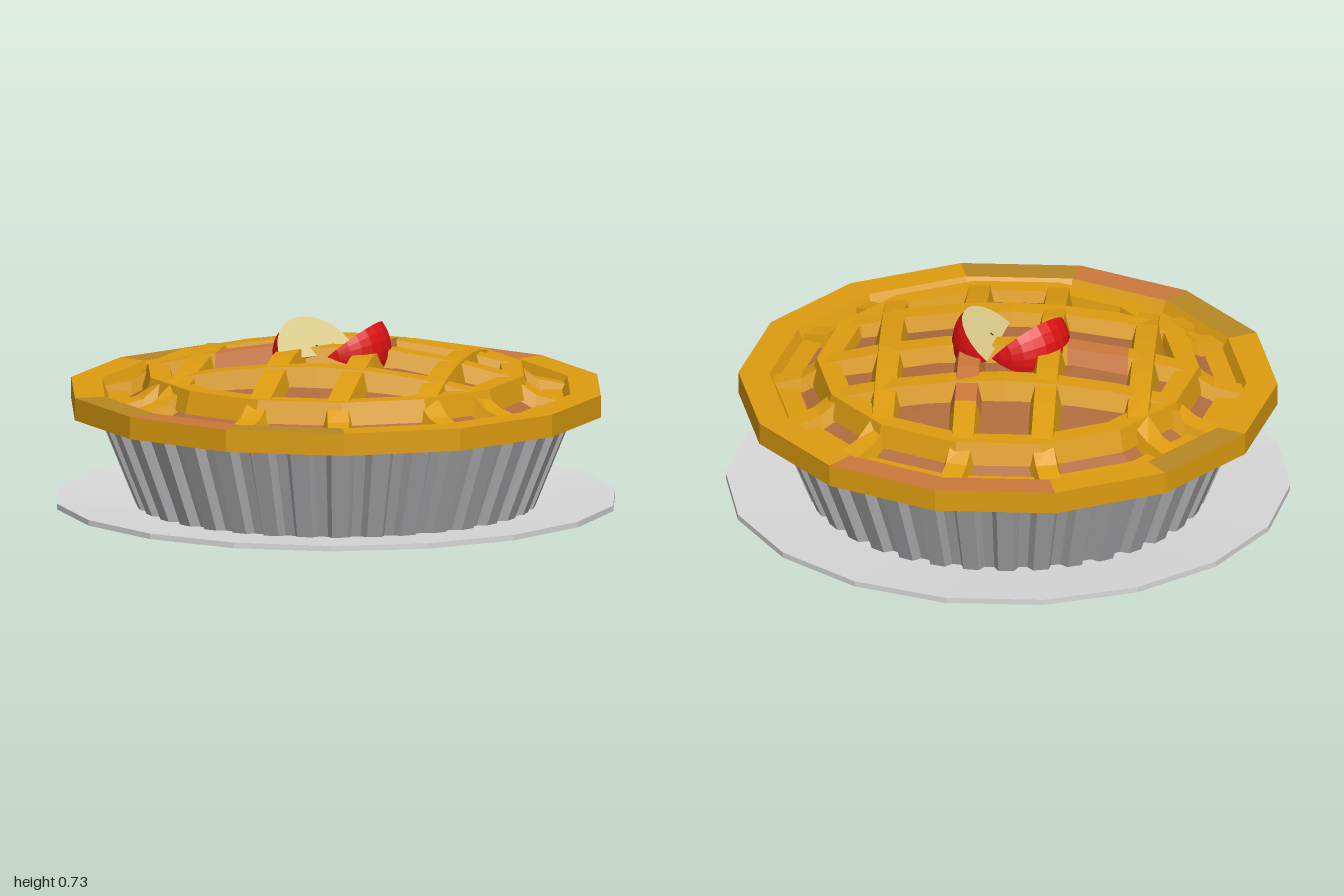
import * as THREE from 'three';

const mat = (name, color) => {
  const m = new THREE.MeshStandardMaterial({ color, flatShading: true });
  m.name = name;
  return m;
};

export function createModel() {
  const plateGrey = mat('plateGrey', 0xd8d8d8);
  const tinGrey = mat('tinGrey', 0xb4b4b6);
  const crustGold = mat('crustGold', 0xdd9c10);
  const crustDull = mat('crustDull', 0xb88824);
  const crustOrange = mat('crustOrange', 0xcc783c);
  const fillingBrown = mat('fillingBrown', 0xb06c3e);
  const skinRed = mat('skinRed', 0xdd1111);
  const fleshCream = mat('fleshCream', 0xdccb8c);
  const seedBrown = mat('seedBrown', 0x4a2c14);

  const pie = new THREE.Group();
  pie.name = 'pie';
  const add = (name, geometry, material, parent = pie) => {
    const mesh = new THREE.Mesh(geometry, material);
    mesh.name = name;
    parent.add(mesh);
    return mesh;
  };
  // Faceted ring of revolution with its first corner on +x
  const lathe = (points, sides) => new THREE.LatheGeometry(
    points.map(([r, y]) => new THREE.Vector2(r, y)), sides, Math.PI / 2);

  // Plate with a foot
  add('plate', lathe([[0, 0], [0.5, 0], [0.5, 0.03], [1, 0.075], [1, 0.095], [0.5, 0.055], [0, 0.055]], 18), plateGrey);

  // Pleated tin: each pleat is a wide outer face and a narrower groove
  const pleats = 36;
  const tin = new THREE.CylinderGeometry(0.85, 0.7, 0.37, pleats * 4, 1, true);
  const pos = tin.attributes.position;
  const offsets = [0, 0.45, 0.58, 0.87];
  for (let i = 0; i < pos.count; i++) {
    const k = i % (pleats * 4 + 1);
    const angle = (Math.floor(k / 4) + offsets[k % 4]) / pleats * Math.PI * 2;
    const r = Math.hypot(pos.getX(i), pos.getZ(i)) - (k % 4 < 2 ? 0 : 0.035);
    pos.setXYZ(i, r * Math.sin(angle), pos.getY(i) + 0.235, r * Math.cos(angle));
  }
  tin.computeVertexNormals();
  add('tin', tin, tinGrey);

  // Crust rim, with differently baked tops on some of its sides
  const sides = 14;
  const rimProfile = [[0.79, 0.415], [0.955, 0.41], [0.955, 0.49], [0.845, 0.49], [0.825, 0.45], [0.75, 0.455]];
  const rim = lathe(rimProfile, sides);
  const bands = rimProfile.length - 1;
  const orangeSides = [4, 10, 11], dullSides = [3, 5, 8];
  for (let i = 0; i < sides; i++) {
    const k = sides - 1 - i;
    const top = orangeSides.includes(k) ? 2 : dullSides.includes(k) ? 1 : 0;
    for (let j = 0; j < bands; j++) rim.addGroup((i * bands + j) * 6, 6, j === 2 ? top : 0);
  }
  add('crustRim', rim, [crustGold, crustDull, crustOrange]);

  // Height of the domed lattice at a distance from the middle
  const dome = [[0, 0.635], [0.25, 0.632], [0.62, 0.565], [0.73, 0.49], [0.86, 0.46]];
  const height = (r) => {
    for (let i = 1; i < dome.length; i++) {
      const [r0, y0] = dome[i - 1], [r1, y1] = dome[i];
      if (r <= r1) return y0 + (y1 - y0) * (r - r0) / (r1 - r0);
    }
    return 0.46;
  };

  // Filling under the lattice
  add('filling', lathe([[0.84, 0.43], [0.74, 0.44], [0.62, 0.505], [0.25, 0.57], [0, 0.575]], sides), fillingBrown);

  // Pastry strip with bevelled sides, following the dome along x,z points
  function strip(name, path, closed, orange = []) {
    const n = path.length, verts = [], index = [];
    path.forEach(([x, z], i) => {
      const a = path[closed ? (i + n - 1) % n : Math.max(i - 1, 0)];
      const b = path[closed ? (i + 1) % n : Math.min(i + 1, n - 1)];
      const len = Math.hypot(b[0] - a[0], b[1] - a[1]);
      const sx = -(b[1] - a[1]) / len, sz = (b[0] - a[0]) / len;
      for (const [w, drop] of [[-0.06, 0.08], [-0.038, 0], [0.038, 0], [0.06, 0.08]]) {
        verts.push(x + sx * w, height(Math.hypot(x, z)) - drop, z + sz * w);
      }
    });
    const geo = new THREE.BufferGeometry();
    const count = closed ? n : n - 1;
    for (let i = 0; i < count; i++) {
      const p = i * 4, q = ((i + 1) % n) * 4;
      for (let j = 0; j < 3; j++) index.push(p + j, p + j + 1, q + j + 1, p + j, q + j + 1, q + j);
      geo.addGroup(i * 18, 18, orange.includes(i) ? 1 : 0);
    }
    geo.setAttribute('position', new THREE.Float32BufferAttribute(verts, 3));
    geo.setIndex(index);
    geo.computeVertexNormals();
    add(name, geo, [crustGold, crustOrange]);
  }

  // Straight run inside the lattice ring, then ends that splay out to the rim
  const ringR = 0.64;
  function latticePath(offset, alongX) {
    const end = Math.sqrt(ringR * ringR - offset * offset), path = [];
    const put = (t, scale = 1) => path.push(alongX ? [t * scale, offset * scale] : [offset * scale, t * scale]);
    put(-end, 1.32);
    put(-end, 1.14);
    for (let i = 0; i <= 6; i++) put(end * (i / 3 - 1));
    put(end, 1.14);
    put(end, 1.32);
    return path;
  }
  strip('latticeLengthways1', latticePath(-0.48, false), false);
  strip('latticeLengthways2', latticePath(-0.15, false), false);
  strip('latticeLengthways3', latticePath(0.13, false), false, [3, 4]);
  strip('latticeLengthways4', latticePath(0.42, false), false);
  strip('latticeCrossways1', latticePath(-0.27, true), false);
  strip('latticeCrossways2', latticePath(0, true), false, [3]);
  strip('latticeCrossways3', latticePath(0.31, true), false);
  const ring = [];
  for (let i = 0; i < sides; i++) {
    const a = i / sides * Math.PI * 2;
    ring.push([ringR * Math.cos(a), ringR * Math.sin(a)]);
  }
  strip('latticeRing', ring, true);

  // Apple wedges: a slice of sphere lying on its side, with cut faces and a seed
  function appleSlice(name, x, y, z, yaw, upper) {
    const slice = new THREE.Group();
    slice.name = name;
    const r = 0.165, lower = -0.35;
    add('appleSkin', new THREE.SphereGeometry(r, 5, 12, Math.PI + lower, upper - lower).rotateX(Math.PI / 2), skinRed, slice);
    const cut = () => new THREE.CircleGeometry(r, 12, -Math.PI / 2, Math.PI);
    add('upperCut', cut().rotateX(-Math.PI / 2).rotateZ(upper), fleshCream, slice);
    add('lowerCut', cut().rotateX(Math.PI / 2).rotateZ(lower), fleshCream, slice);
    add('seed', new THREE.CircleGeometry(0.009, 6).scale(1, 0.6, 1).rotateX(-Math.PI / 2)
      .translate(0.035, 0.002, 0.01).rotateZ(upper), seedBrown, slice);
    slice.position.set(x, y, z);
    slice.rotation.y = yaw;
    pie.add(slice);
  }
  appleSlice('appleSliceRight', -0.055, 0.605, 0.04, 2.42, 0.86);
  appleSlice('appleSliceLeft', 0.035, 0.625, 0.01, -0.2, 0.7);

  return pie;
}
